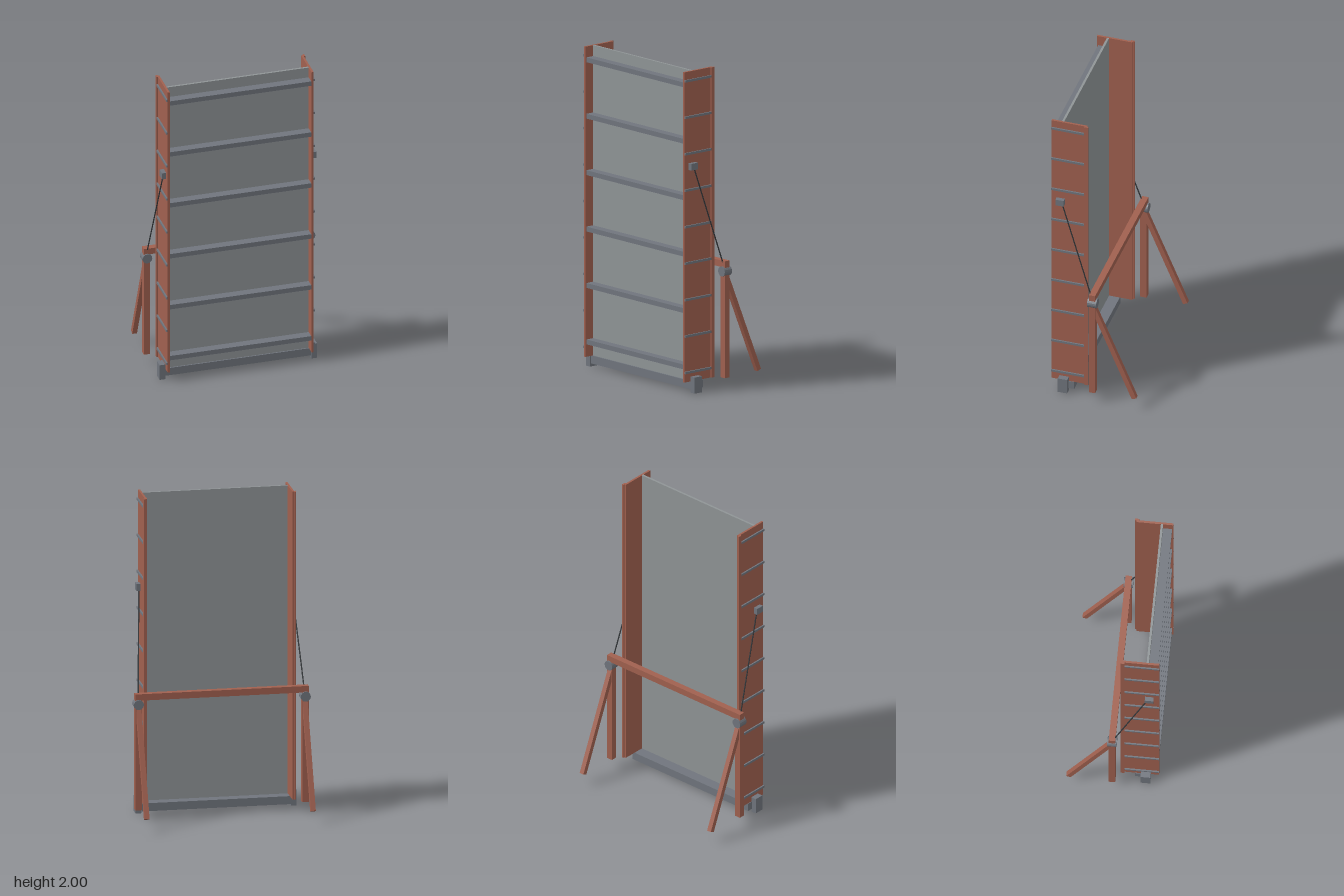
import * as THREE from 'three';

const mat = (color) => new THREE.MeshStandardMaterial({ color, roughness: 0.8, flatShading: true });

export function createModel() {
  const model = new THREE.Group();
  const red = mat(0xa0604f);
  const steel = mat(0x70757d);
  const sheet = mat(0x8f9496);
  const dark = mat(0x33373a);

  // box given by its min and max on each axis
  function box(name, material, [x0, x1], [y0, y1], [z0, z1], parent = model) {
    const mesh = new THREE.Mesh(new THREE.BoxGeometry(x1 - x0, y1 - y0, z1 - z0), material);
    mesh.position.set((x0 + x1) / 2, (y0 + y1) / 2, (z0 + z1) / 2);
    mesh.name = name;
    parent.add(mesh);
    return mesh;
  }

  // stretches a mesh built along y between two points
  function between(name, geometry, material, a, b, parent) {
    const dir = b.clone().sub(a);
    const mesh = new THREE.Mesh(geometry, material);
    mesh.position.copy(a).add(b).multiplyScalar(0.5);
    mesh.quaternion.setFromUnitVectors(new THREE.Vector3(0, 1, 0), dir.normalize());
    mesh.name = name;
    parent.add(mesh);
  }

  // gate sheet with its front ribs and bottom sill
  box('gateSheet', sheet, [-0.45, 0.45], [0.07, 2], [0.203, 0.217]);
  for (let i = 0; i < 6; i++) {
    const y = 0.163 + i * 0.351;
    box('frontRib', steel, [-0.45, 0.45], [y - 0.015, y + 0.015], [0.217, 0.272]);
  }
  box('bottomSill', steel, [-0.465, 0.465], [0.02, 0.07], [0.135, 0.225]);

  // crossbar joining the two stands
  box('crossbar', red, [-0.535, 0.535], [0.757, 0.797], [-0.02, 0.02]);

  for (const s of [1, -1]) {
    const side = new THREE.Group();
    side.name = s > 0 ? 'leftSide' : 'rightSide';
    model.add(side);
    const sx = (a, b) => (s > 0 ? [a, b] : [-b, -a]);
    const point = (x, y, z) => new THREE.Vector3(s * x, y, z);

    // side plate, rear flange and outer stiffeners
    box('sidePlate', red, sx(0.448, 0.461), [0.07, 2], [0.055, 0.28], side);
    box('rearFlange', red, sx(0.459, 0.47), [0.07, 2], [0.045, 0.07], side);
    for (let i = 0; i < 9; i++) {
      const y = 0.13 + i * 0.2268;
      box('sideStiffener', steel, sx(0.461, 0.47), [y - 0.007, y + 0.007], [0.07, 0.28], side);
    }

    // foot block and cable anchor
    box('footBlock', steel, sx(0.461, 0.497), [0, 0.1], [0.17, 0.23], side);
    box('cableAnchor', steel, sx(0.461, 0.487), [1.388, 1.43], [0.195, 0.247], side);

    // stand: post, joint and raking brace
    box('post', red, sx(0.495, 0.535), [0.07, 0.757], [-0.02, 0.02], side);
    const joint = new THREE.Mesh(new THREE.CylinderGeometry(0.031, 0.031, 0.058, 16), steel);
    joint.rotation.x = Math.PI / 2;
    joint.position.set(s * 0.515, 0.732, 0);
    joint.name = 'joint';
    side.add(joint);
    const top = point(0.513, 0.71, 0);
    const foot = point(0.513, 0.077, -0.265);
    between('brace', new THREE.BoxGeometry(0.03, top.distanceTo(foot), 0.03), red, foot, top, side);

    // stay cable from the anchor to the stand
    const upper = point(0.469, 1.4, 0.212);
    const lower = point(0.514, 0.75, 0.004);
    const cable = new THREE.CylinderGeometry(0.004, 0.004, upper.distanceTo(lower), 8);
    between('stayCable', cable, dark, lower, upper, side);
  }
  return model;
}
